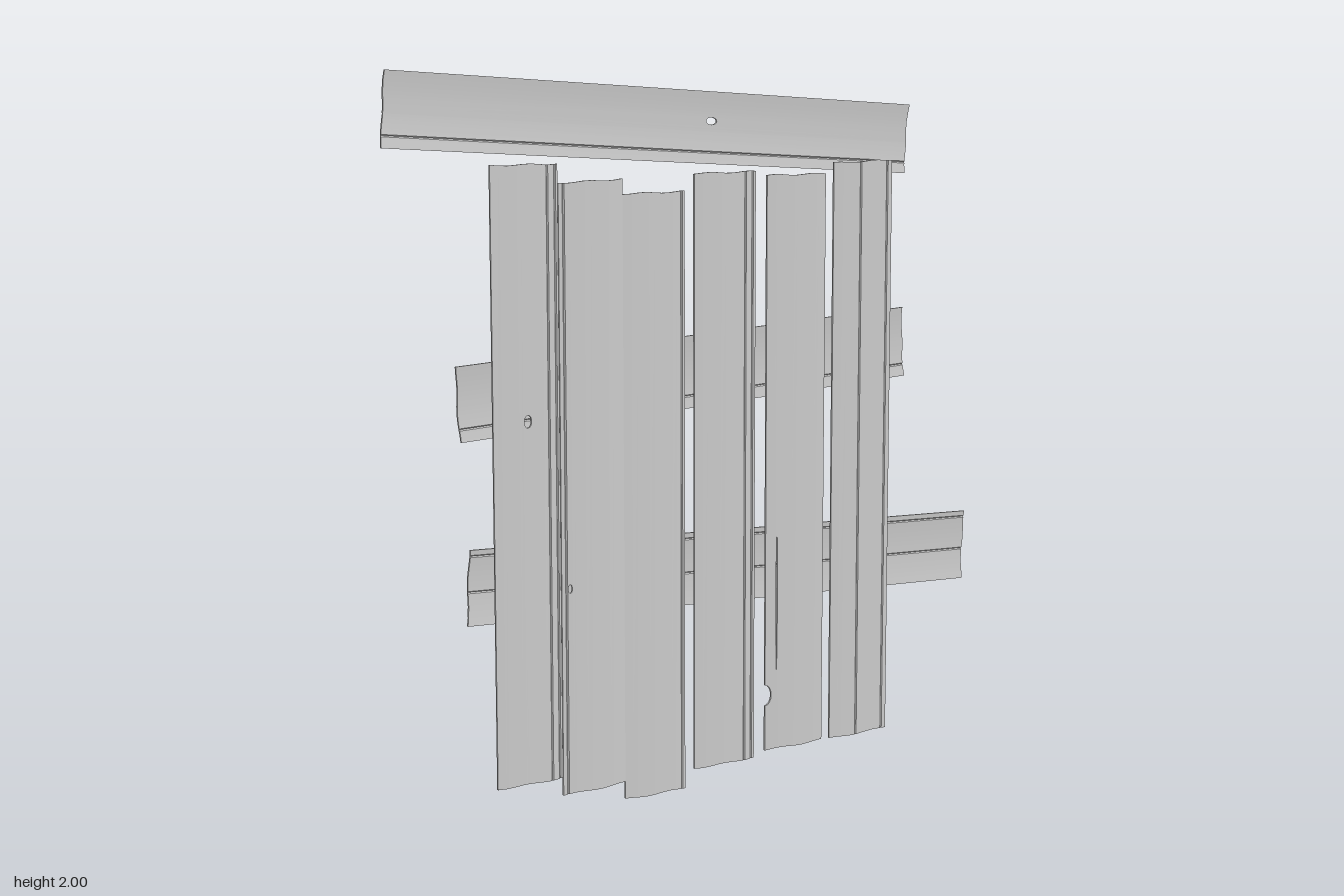
import * as THREE from 'three';
import { mergeGeometries, toCreasedNormals } from 'three/addons/utils/BufferGeometryUtils.js';

const material = new THREE.MeshStandardMaterial({ color: 0xcccccc, side: THREE.DoubleSide });
const THICK = 0.006;

// A cupped board: width along x, length along y, assembled from strips so that
// grooves, holes and edge notches can be cut. bow > 0 bulges to the front.
function boardGeometry({ w, len, bow, slant = 0, grooves = [], backGrooves = [], holes = [], notches = [], seed = 1 }) {
  const half = w / 2;
  const cuts = [
    ...holes.map(([u, , rx]) => [u - rx - 0.002, u + rx + 0.002]),
    ...notches.map(([side, , depth]) => side < 0 ? [-half + 1e-4, -half + depth + 0.002] : [half - depth - 0.002, half - 1e-4]),
  ];
  let us = [];
  for (let i = 0; i <= 8; i++) us.push(-half + (w * i) / 8);
  const allGrooves = [...grooves, ...backGrooves];
  us = us.filter(u => !allGrooves.some(g => Math.abs(u - g) < 0.006));
  for (const g of allGrooves) us.push(g - 0.003, g, g + 0.003);
  us = us.filter(u => !cuts.some(([a, b]) => u > a && u < b));
  for (const [a, b] of cuts) us.push(...[a, b].filter(u => Math.abs(u) < half - 0.001));
  us.sort((a, b) => a - b);

  const curve = u => bow * (0.5 - (u / half) ** 2);
  const front = u => curve(u) + THICK / 2 - (grooves.includes(u) ? 0.003 : 0);
  const back = u => curve(u) - THICK / 2 + (backGrooves.includes(u) ? 0.003 : 0);
  const top = u => len / 2 + slant * u + 0.002 * Math.sin(u * 50 + seed);
  const bottom = u => -len / 2 + slant * u + 0.002 * Math.sin(u * 45 + seed * 2);

  const strips = [];
  for (let i = 0; i < us.length - 1; i++) {
    const a = us[i], b = us[i + 1];
    if (b - a < 1e-5) continue;
    const shape = new THREE.Shape();
    const notchEdge = side => {
      for (const [s, v, depth, tall] of notches.filter(n => n[0] === side)) {
        for (let k = 0; k <= 8; k++) {
          const t = (Math.PI * k) / 8;
          shape.lineTo(side * (half - depth * Math.sin(t)), v - side * tall * Math.cos(t));
        }
      }
    };
    shape.moveTo(a, bottom(a));
    shape.lineTo(b, bottom(b));
    if (i === us.length - 2) notchEdge(1);
    shape.lineTo(b, top(b));
    shape.lineTo(a, top(a));
    if (i === 0) notchEdge(-1);
    for (const [u, v, rx, ry] of holes) {
      if (u > a && u < b) shape.holes.push(new THREE.Path().absellipse(u, v, rx, ry, 0, Math.PI * 2, true));
    }
    const g = new THREE.ExtrudeGeometry(shape, { depth: 1, bevelEnabled: false, curveSegments: 8 });
    // Move both faces of the strip onto the cupped profile
    const p = g.attributes.position;
    for (let k = 0; k < p.count; k++) {
      const f = p.getZ(k) > 0.5 ? front : back;
      p.setZ(k, THREE.MathUtils.lerp(f(a), f(b), (p.getX(k) - a) / (b - a)));
    }
    strips.push(g);
  }
  return toCreasedNormals(mergeGeometries(strips), 0.4);
}

export function createModel() {
  const model = new THREE.Group();
  model.name = 'brokenFence';

  // Upright planks: x range, y range, grooves in x, holes [x, y, rx, ry]
  const planks = [
    { x: [-0.655, -0.457], y: [0.10, 1.755], grooves: [-0.49, -0.466], holes: [[-0.555, 1.085, 0.011, 0.017]] },
    { x: [-0.455, -0.26], y: [0.052, 1.707], grooves: [-0.441], holes: [[-0.43, 0.62, 0.006, 0.012]], slant: 0.02 },
    { x: [-0.26, -0.065], y: [0.005, 1.67], grooves: [-0.076], backGrooves: [-0.19] },
    { x: [-0.034, 0.166], y: [0.055, 1.717], grooves: [0.13, 0.155] },
    { x: [0.204, 0.402], y: [0.07, 1.705], holes: [[0.24, 0.5, 0.0025, 0.2]], notches: [[-1, 0.23, 0.02, 0.03]] },
    { x: [0.43, 0.633], y: [0.07, 1.735], grooves: [0.52, 0.615], slant: 0.02 },
  ];
  planks.forEach((d, i) => {
    const cx = (d.x[0] + d.x[1]) / 2, cy = (d.y[0] + d.y[1]) / 2;
    const mesh = new THREE.Mesh(boardGeometry({
      w: d.x[1] - d.x[0], len: d.y[1] - d.y[0], bow: 0.006, slant: d.slant, seed: i + 1,
      grooves: (d.grooves || []).map(g => g - cx),
      backGrooves: (d.backGrooves || []).map(g => g - cx),
      holes: (d.holes || []).map(([x, y, rx, ry]) => [x - cx, y - cy, rx, ry]),
      notches: (d.notches || []).map(([s, y, dep, tall]) => [s, y - cy, dep, tall]),
    }), material);
    mesh.name = `plank${i + 1}`;
    mesh.position.set(cx, cy, 0.015);
    model.add(mesh);
  });

  // Cross rails behind the planks; local x runs downward, local y runs to the left
  const rails = [
    { name: 'topRail', at: [-0.118, 1.847], len: 1.645, w: 0.195, tilt: -0.0666, grooves: [0.066], backGrooves: [0.012],
      holes: [[-0.018, 0.157, 0.01, 0.017]], nails: [-0.7, 0.68] },
    { name: 'middleRail', at: [-0.022, 1.175], len: 1.443, w: 0.2, tilt: 0.048, grooves: [0.066], backGrooves: [0.0],
      notches: [[1, 0.57, 0.012, 0.03]], nails: [-0.48, 0.5] },
    { name: 'bottomRail', at: [0.107, 0.6175], len: 1.655, w: 0.204, tilt: -0.042, grooves: [-0.085, 0.012], backGrooves: [0.08],
      nails: [-0.64, 0.43] },
  ];
  const nailGeometry = new THREE.CylinderGeometry(0.006, 0.006, 0.006, 8).rotateX(Math.PI / 2);
  rails.forEach((d, i) => {
    const rail = new THREE.Group();
    rail.name = d.name;
    const board = new THREE.Mesh(boardGeometry({ ...d, bow: -0.006, seed: i + 7 }), material);
    board.name = d.name + 'Board';
    rail.add(board);
    // Nail heads in pairs near each end
    for (const v of d.nails) for (const u of [-0.05, 0.05]) {
      const nail = new THREE.Mesh(nailGeometry, material);
      nail.name = 'nailHead';
      nail.position.set(u, v, -0.005);
      rail.add(nail);
    }
    rail.position.set(d.at[0], d.at[1], -0.014);
    rail.rotation.z = -Math.PI / 2 + d.tilt;
    model.add(rail);
  });
  return model;
}
